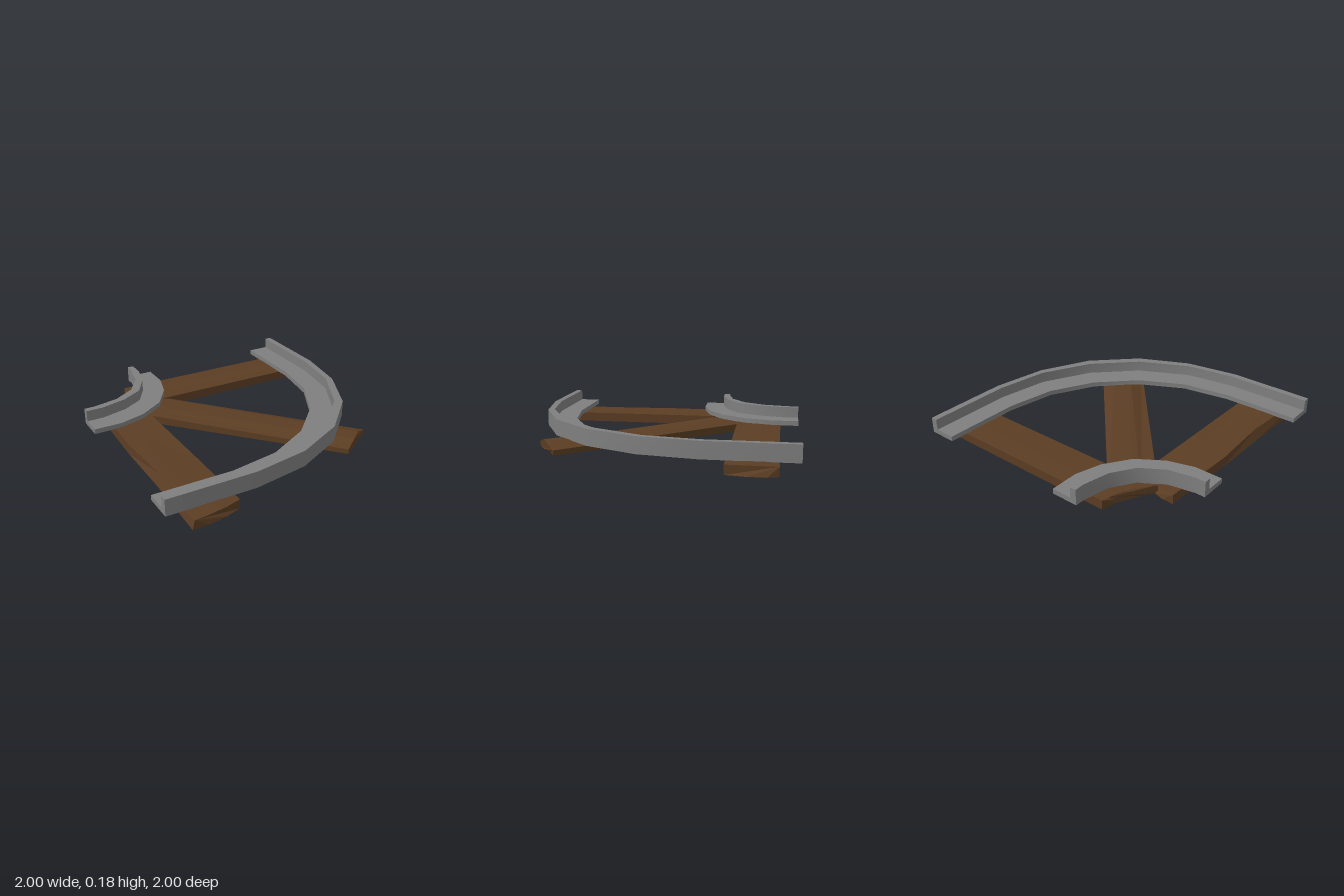
import * as THREE from 'three';
import { toCreasedNormals } from 'three/addons/utils/BufferGeometryUtils.js';

// Joins equal-sized rings of [x, y, z] points into a closed solid with end caps
function loft(rings, crease) {
  const n = rings[0].length, last = (rings.length - 1) * n;
  const pts = rings.flat().map(p => new THREE.Vector3(...p));
  const tris = [];
  for (let i = 0; i < rings.length - 1; i++) {
    for (let j = 0; j < n; j++) {
      const a = i * n + j, b = i * n + (j + 1) % n;
      tris.push([a, b, b + n], [a, b + n, a + n]);
    }
  }
  for (let j = 1; j < n - 1; j++) {
    tris.push([0, j + 1, j], [last, last + j, last + j + 1]);
  }
  // Turn the faces outward if the signed volume is negative
  let volume = 0;
  const cross = new THREE.Vector3();
  for (const [a, b, c] of tris) volume += pts[a].dot(cross.crossVectors(pts[b], pts[c]));
  if (volume < 0) tris.forEach(t => t.reverse());
  const geo = new THREE.BufferGeometry().setFromPoints(tris.flat().map(i => pts[i]));
  return toCreasedNormals(geo, crease);
}

// Completes a half path by mirroring it over the diagonal x = z
function mirrored(half, middle = []) {
  return [...half, ...middle, ...half.map(([x, z]) => [z, x]).reverse()];
}

// L-shaped rail: a flat flange beside an upright wall
const BASE = 0.065, FLANGE = 0.1, TOP = 0.178;
function railGeometry(flange, step, wall) {
  const rings = flange.map(([fx, fz], i) => {
    const [sx, sz] = step[i], [wx, wz] = wall[i];
    return [
      [sx, FLANGE, sz], [fx, FLANGE, fz], [fx, BASE, fz],
      [wx, BASE, wz], [wx, TOP, wz], [sx, TOP, sz],
    ];
  });
  return loft(rings, 0.6);
}

// Rough wooden plank from cross-sections of [x, z, topHeight, bottomX]
const H = 0.067;
function plankGeometry(sections) {
  const rings = sections.map(row => [
    ...row.map(([x, z, y = H]) => [x, y, z]),
    ...row.map(([x, z, y, bx = x]) => [bx, 0, z]).reverse(),
  ]);
  return loft(rings, 0.15);
}

export function createModel() {
  const group = new THREE.Group();
  const steel = new THREE.MeshStandardMaterial({ name: 'steel grey', color: 0x7f7f7f });
  const wood = new THREE.MeshStandardMaterial({ name: 'dark wood', color: 0x5b3d23 });

  function add(name, geometry, material) {
    const mesh = new THREE.Mesh(geometry, material);
    mesh.name = name;
    group.add(mesh);
  }

  // Rails
  add('outerRail', railGeometry(
    mirrored([[-1, 0.69], [-0.45, 0.69], [-0.1, 0.63], [0.215, 0.465]]),
    mirrored([[-1, 0.84], [-0.4, 0.84], [-0.03, 0.78], [0.32, 0.6]]),
    mirrored([[-1, 0.887], [-0.39, 0.887], [0, 0.82], [0.36, 0.645]]),
  ), steel);
  add('innerRail', railGeometry(
    mirrored([[-1, -0.26], [-0.8, -0.26], [-0.615, -0.315]], [[-0.435, -0.435]]),
    mirrored([[-1, -0.405], [-0.88, -0.405], [-0.695, -0.455]], [[-0.545, -0.545]]),
    mirrored([[-1, -0.45], [-0.93, -0.45], [-0.745, -0.49]], [[-0.59, -0.59]]),
  ), steel);

  // Tie across the back end of the curve
  add('backTie', plankGeometry([
    [[-0.54, -0.87], [-0.57, -0.75], [-0.58, -0.68], [-0.5, -0.55]],
    [[0.97, -0.87, 0.06], [0.997, -0.8], [0.997, -0.68], [0.975, -0.55, 0.062]],
  ]), wood);

  // Diagonal tie, crowned at its outer end
  add('diagonalTie', plankGeometry([
    [[-0.54, -0.81, 0.06], [-0.59, -0.71], [-0.64, -0.61], [-0.7, -0.52, 0.06]],
    [[0.68, 0.57, 0.034], [0.585, 0.62], [0.5, 0.69], [0.41, 0.745, 0.034]],
  ]), wood);

  // Tie across the left end of the curve, with a worn side
  add('sideTie', plankGeometry([
    [[-0.84, -0.555], [-0.76, -0.555], [-0.69, -0.535], [-0.545, -0.45]],
    [[-0.86, 0, H, -0.864], [-0.77, 0], [-0.66, 0], [-0.545, 0]],
    [[-0.835, 0.45, H, -0.866], [-0.77, 0.45], [-0.66, 0.45], [-0.545, 0.45]],
    [[-0.87, 0.997, 0.062, -0.885], [-0.78, 0.997], [-0.65, 0.975], [-0.545, 0.94, 0.063]],
  ]), wood);

  return group;
}
